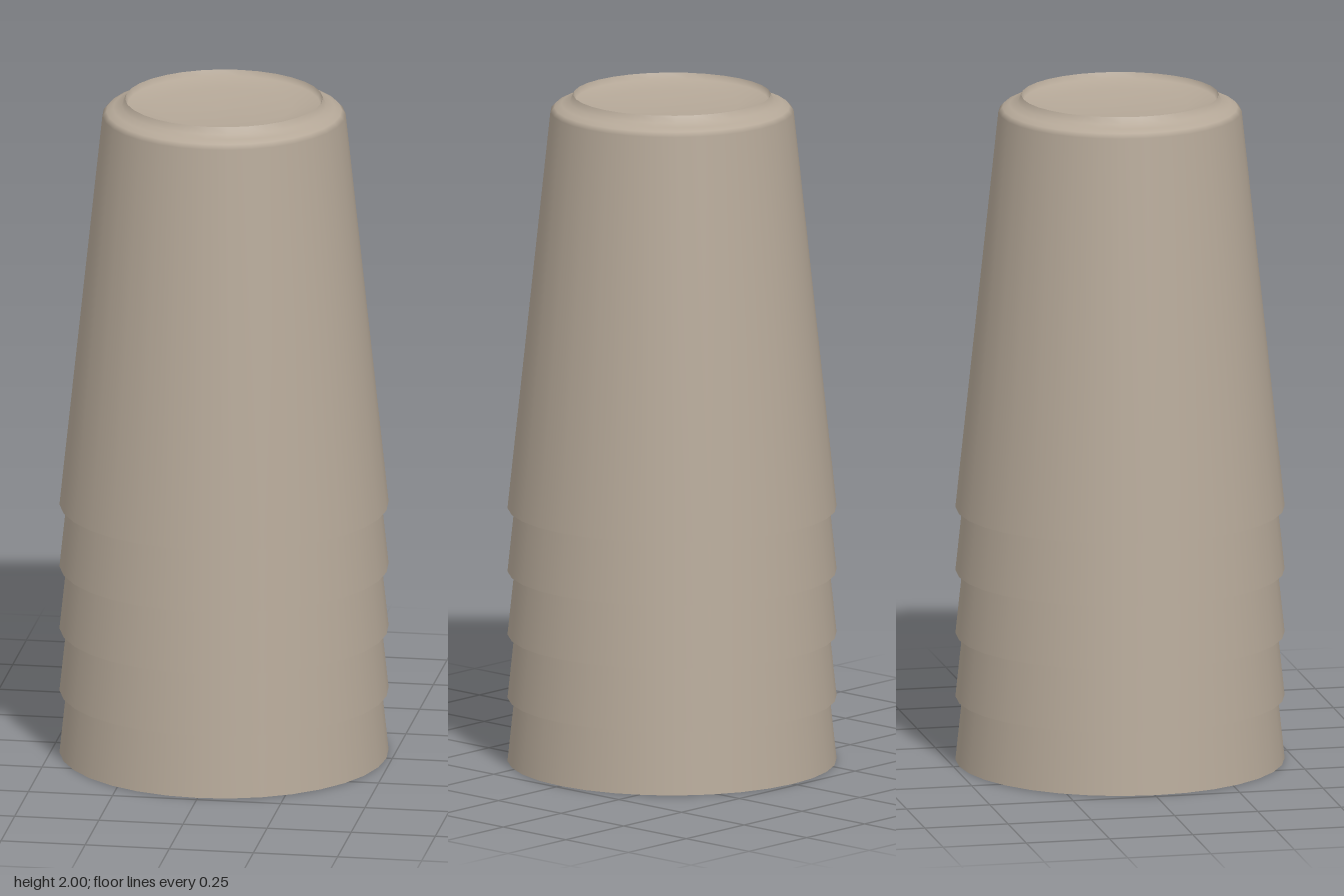
import * as THREE from 'three';

const SIDES = 32;
const CUPS = 5;
const STEP = 0.19; // rise from one nested cup to the next

const material = new THREE.MeshStandardMaterial({ color: 0xb5a898 });

// Profiles are [radius, height] pairs for one upside-down cup.
const profiles = {
  wall: [[0.483, 0], [0.357, 1.19], [0.345, 1.203], [0.325, 1.212], [0.3, 1.22], [0.29, 1.24]],
  base: [[0.29, 1.24], [0.283, 1.222], [0.2, 1.212], [0.1, 1.206], [0, 1.204]],
  rim: [[0.456, 0], [0.483, 0]],
  inside: [[0, 1.18], [0.27, 1.19], [0.325, 1.17], [0.456, 0]],
};

function lathe(name, profile) {
  const points = profile.map(([r, y]) => new THREE.Vector2(r, y));
  const mesh = new THREE.Mesh(new THREE.LatheGeometry(points, SIDES), material);
  mesh.name = name;
  return mesh;
}

function createCup() {
  const cup = new THREE.Group();
  for (const [name, profile] of Object.entries(profiles)) cup.add(lathe(name, profile));
  return cup;
}

export function createModel() {
  const stack = new THREE.Group();
  stack.name = 'cupStack';
  // Identical cups nested over each other, only the lower bands showing
  for (let i = 0; i < CUPS; i++) {
    const cup = createCup();
    cup.name = `cup${i + 1}`;
    cup.position.y = i * STEP;
    stack.add(cup);
  }
  return stack;
}
